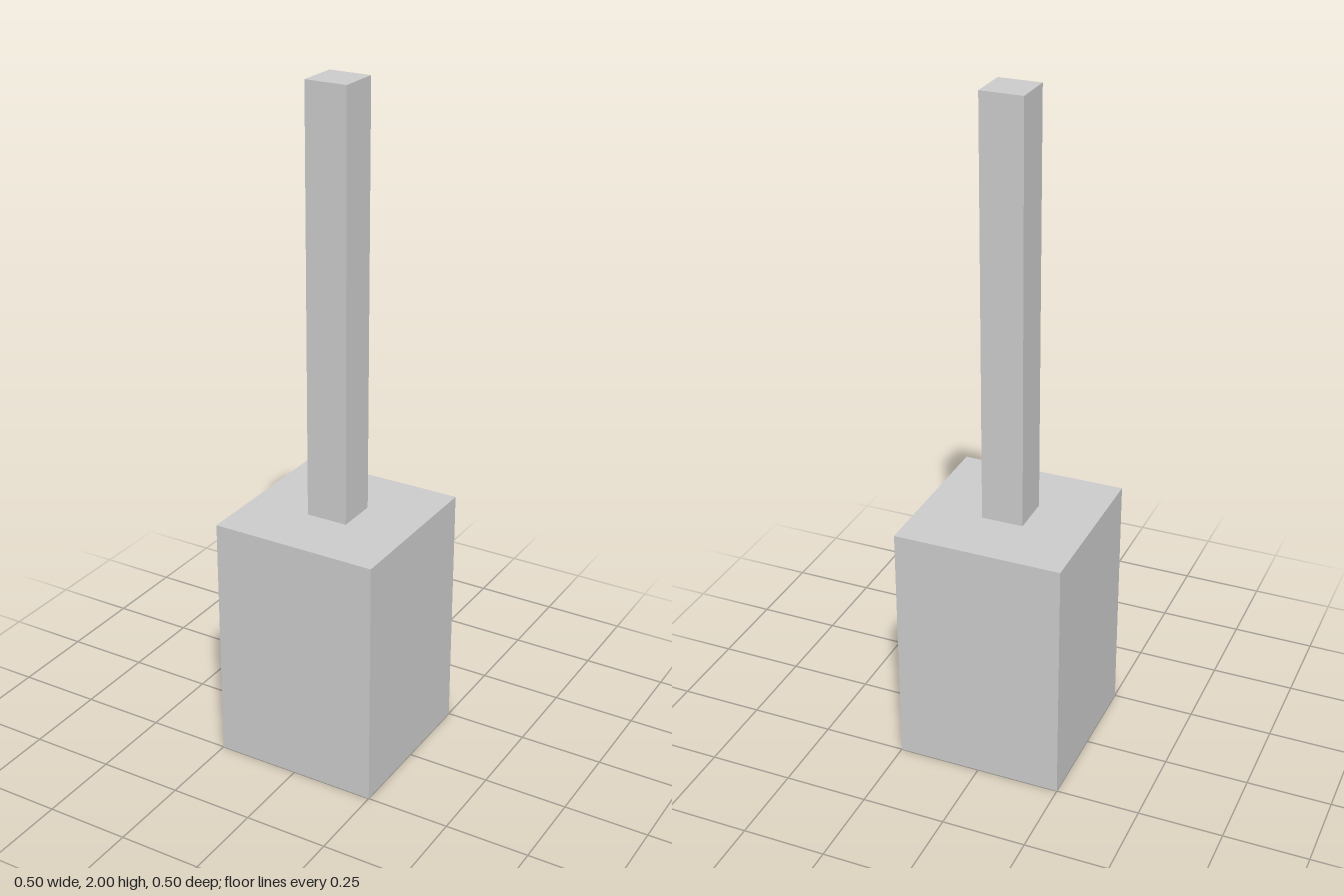
import * as THREE from 'three';

const material = new THREE.MeshStandardMaterial({ color: 0xcccccc, flatShading: true });

// Square block standing on height y0
function block(name, width, height, y0) {
  const mesh = new THREE.Mesh(new THREE.BoxGeometry(width, height, width), material);
  mesh.name = name;
  mesh.position.y = y0 + height / 2;
  return mesh;
}

export function createModel() {
  const model = new THREE.Group();
  model.name = 'postOnBlock';
  model.add(block('base', 0.5, 0.75, 0)); // heavy lower block
  model.add(block('post', 0.125, 1.25, 0.75)); // slender upright
  return model;
}
